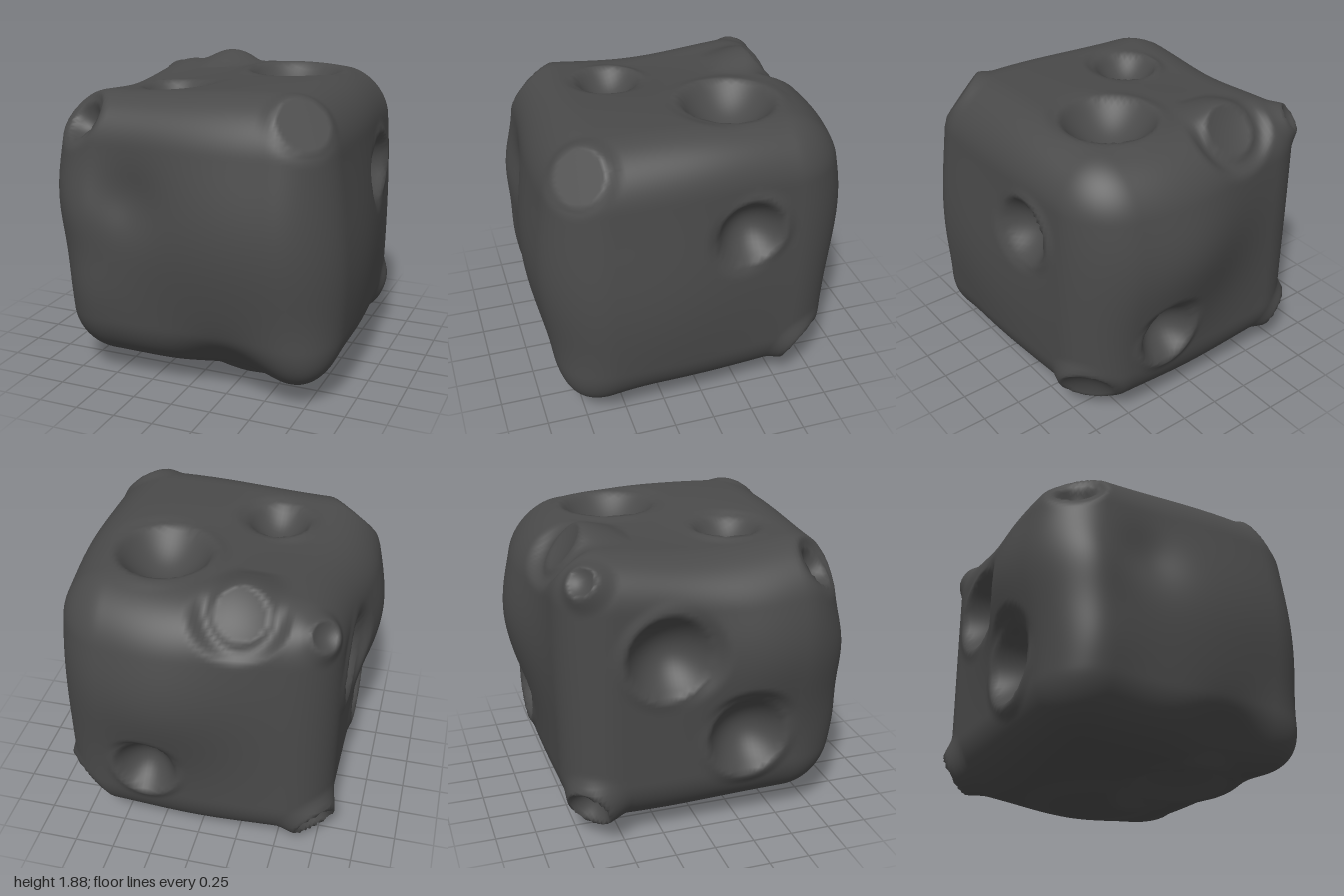
import * as THREE from 'three';
import { mergeVertices } from 'three/addons/utils/BufferGeometryUtils.js';

const V = (a) => new THREE.Vector3(...a);
const LOW = V([-0.83, 0.12, -0.84]);
const HIGH = V([0.84, 1.82, 0.86]);
const ROUND = 0.3;
const innerLow = LOW.clone().addScalar(ROUND);
const innerHigh = HIGH.clone().addScalar(-ROUND);

// Broad swells and dents: centre, direction, height, spread
const swells = [
  [[0.84, 0.8, 0.3], [1, 0, 0], 0.12, 0.7],
  [[-0.83, 1.2, 0.36], [-1, 0, 0], 0.13, 0.44],
  [[0.2, 1.2, -0.84], [0, 0, -1], 0.16, 0.48],
  [[0.25, 1.0, 0.86], [0, 0, 1], 0.14, 0.6],
  [[-0.64, 1.1, 0.86], [0, 0, 1], 0.07, 0.28],
  [[-0.64, 0.6, 0.86], [0, 0, 1], 0.06, 0.3],
  [[-0.3, 1.2, 0.86], [0, 0, 1], -0.05, 0.2],
  [[0, 0.12, -0.22], [0, -1, 0], 0.12, 0.5],
  [[0.25, 0.12, 0.86], [0, -1, 1], -0.09, 0.24],
  [[0.7, 0.22, 0.74], [0.5, -0.6, 0.6], 0.06, 0.24],
  [[-0.6, 1.82, 0.1], [0, 1, 0], -0.07, 0.55],
  [[0.45, 1.82, 0.3], [0, 1, 0], 0.03, 0.5],
  [[0.75, 1.73, -0.1], [1, 1, 0], 0.02, 0.35],
  [[0.75, 1.73, -0.75], [1, 1, -1], -0.03, 0.3],
].map(([c, n, height, spread]) => ({ c: V(c), n: V(n).normalize(), height, spread }));

// Bowls in the faces: place on the face, direction, radius, depth
const bowls = [
  [[0.29, 1.82, -0.28], [0, 1, 0], 0.29, 0.19],
  [[-0.27, 1.82, 0.3], [0, 1, 0], 0.2, 0.14],
  [[0.84, 1.25, -0.24], [1, 0, 0], 0.21, 0.16],
  [[-0.83, 1.22, -0.24], [-1, 0, 0], 0.26, 0.18],
  [[-0.83, 0.64, 0.25], [-1, 0, 0], 0.25, 0.18],
  [[0.29, 0.62, -0.84], [0, 0, -1], 0.2, 0.16],
  [[0.32, 0.12, 0.24], [0, -1, 0], 0.31, 0.13],
].map(([c, n, radius, depth]) => ({
  c: basePoint(V(c)), n: V(n), radius, depth, slope: 0, blend: 0.35,
}));

// Discs and sockets on corners and edges: rim centre, direction, radius, depth, outer slope, blend width
const stubs = [
  [[-0.68, 1.61, 0.72], [-0.45, 0.65, 0.65], 0.13, 0.12, 0.5, 0.6],
  [[-0.75, 0.25, -0.72], [-1, -0.7, -1], 0.14, 0.12, 0.8, 0.6],
  [[0.7, 1.7, 0.72], [1, 1, 1], 0.17, 0, 0.6, 0.4],
  [[0.75, 0.29, -0.66], [0.65, -0.5, -0.6], 0.17, 0.04, 0.5, 0.4],
  [[-0.74, 1.69, -0.72], [-1, 1, -1], 0.09, 0.03, 0.7, 0.9],
  [[-0.26, 1.75, -0.71], [0, 0.63, -0.78], 0.16, 0.02, 0.7, 0.9],
].map(([c, n, radius, depth, slope, blend]) => ({
  c: V(c), n: V(n).normalize(), radius, depth, slope, blend,
}));
const features = [...bowls, ...stubs];

// Rounded box with the broad swells applied
function basePoint(p) {
  const core = p.clone().clamp(innerLow, innerHigh);
  const q = p.clone().sub(core).setLength(ROUND).add(core);
  const out = q.clone();
  for (const s of swells) {
    const t = q.distanceTo(s.c) / s.spread;
    out.addScaledVector(s.n, s.height * Math.exp(-t * t));
  }
  return out;
}

// Press each bowl or disc into the surface along its own axis
function carve(p) {
  const out = p.clone();
  for (const f of features) {
    const offset = p.clone().sub(f.c);
    const along = offset.dot(f.n);
    if (along < -f.radius * 1.6) continue;
    const side = offset.addScaledVector(f.n, -along).length();
    const t = side / f.radius;
    const weight = 1 - THREE.MathUtils.smoothstep(t, 1, 1 + f.blend);
    if (weight <= 0) continue;
    const target = t < 1 ? -f.depth * (1 - t * t) : -f.slope * (side - f.radius);
    out.addScaledVector(f.n, (target - along) * weight);
  }
  return out;
}

export function createModel() {
  const size = HIGH.clone().sub(LOW);
  const centre = HIGH.clone().add(LOW).multiplyScalar(0.5);
  let geometry = new THREE.BoxGeometry(size.x, size.y, size.z, 64, 64, 64);
  geometry.translate(centre.x, centre.y, centre.z);
  geometry.deleteAttribute('normal');
  geometry.deleteAttribute('uv');
  geometry = mergeVertices(geometry, 1e-4);

  const pos = geometry.attributes.position;
  const p = new THREE.Vector3();
  for (let i = 0; i < pos.count; i++) {
    const q = carve(basePoint(p.fromBufferAttribute(pos, i)));
    pos.setXYZ(i, q.x, q.y, q.z);
  }

  // Centre on the ground
  geometry.computeBoundingBox();
  const box = geometry.boundingBox;
  const mid = box.getCenter(new THREE.Vector3());
  geometry.translate(-mid.x, -box.min.y, -mid.z);
  geometry.computeVertexNormals();

  const rock = new THREE.Mesh(geometry, new THREE.MeshStandardMaterial({ color: 0x4a4a4a }));
  rock.name = 'crateredRock';
  const group = new THREE.Group();
  group.name = 'crateredCubeRock';
  group.add(rock);
  return group;
}
